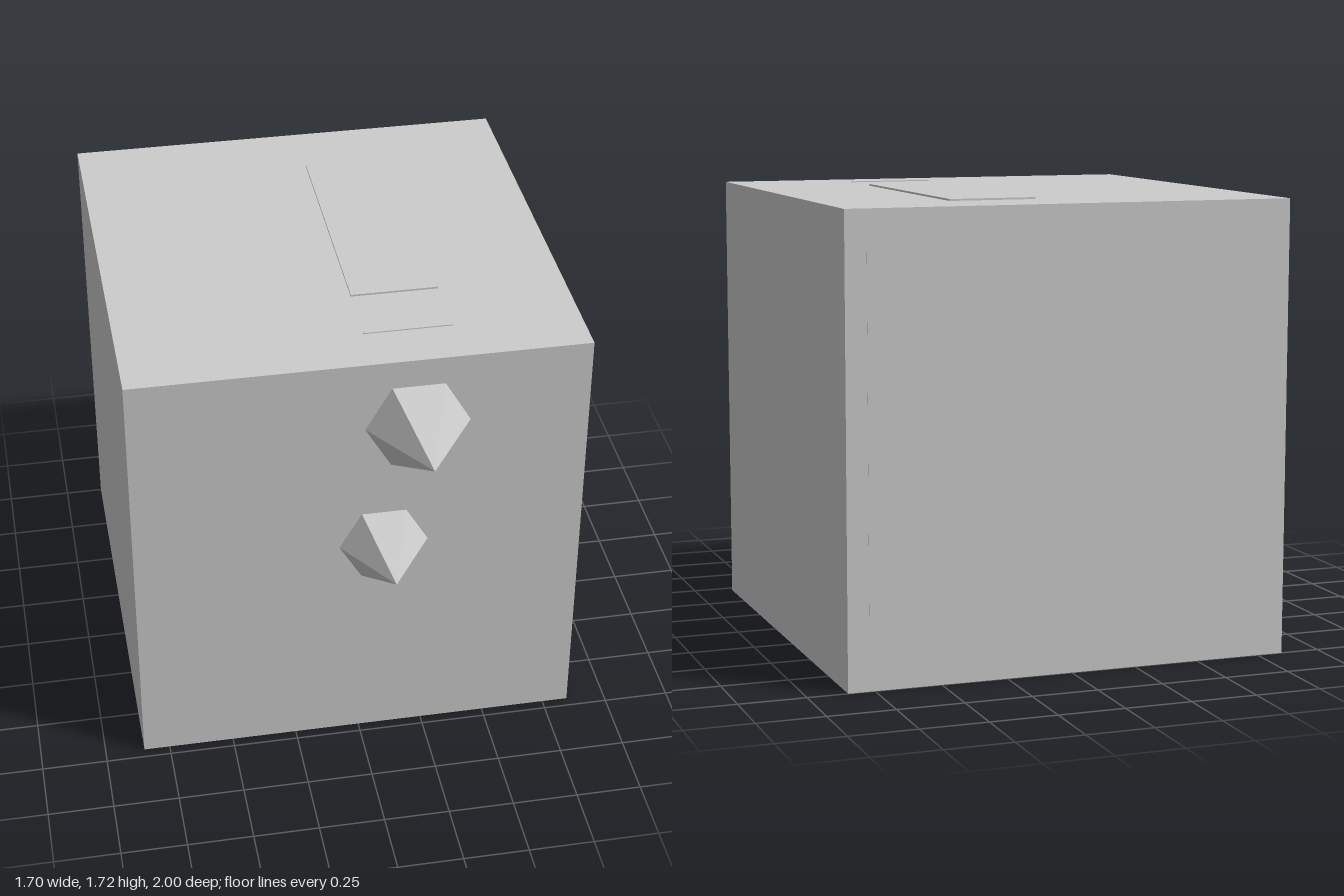
import * as THREE from 'three';

const material = new THREE.MeshStandardMaterial({ color: 0xcccccc, flatShading: true });

// Box given by its minimum and maximum corners
function block(name, [x0, y0, z0], [x1, y1, z1]) {
  const mesh = new THREE.Mesh(new THREE.BoxGeometry(x1 - x0, y1 - y0, z1 - z0), material);
  mesh.name = name;
  mesh.position.set((x0 + x1) / 2, (y0 + y1) / 2, (z0 + z1) / 2);
  return mesh;
}

// Six-sided spike pointing forward from the front face
function spike(name, x, y, radius, length) {
  const geometry = new THREE.ConeGeometry(radius, length, 6);
  geometry.rotateY(Math.PI / 6); // corners to the left and right
  geometry.rotateX(Math.PI / 2); // tip towards +z
  const mesh = new THREE.Mesh(geometry, material);
  mesh.name = name;
  mesh.position.set(x, y, 0.71 + length / 2);
  return mesh;
}

export function createModel() {
  const model = new THREE.Group();
  model.name = 'spikedCube';

  // Main body and the barely raised panel on its back
  model.add(block('body', [-0.85, 0, -1], [0.85, 1.71, 0.71]));
  model.add(block('backPanel', [-0.77, 0.08, -1.001], [0.77, 1.63, -0.95]));

  // Thin plate and narrow strip on the top
  model.add(block('topPlate', [0.045, 1.69, -0.73], [0.375, 1.717, 0.255]));
  model.add(block('topStrip', [0.045, 1.69, 0.5], [0.375, 1.714, 0.51]));

  // Two spikes on the front
  model.add(spike('upperSpike', 0.21, 1.43, 0.195, 0.29));
  model.add(spike('lowerSpike', 0.09, 0.9, 0.168, 0.25));

  return model;
}
